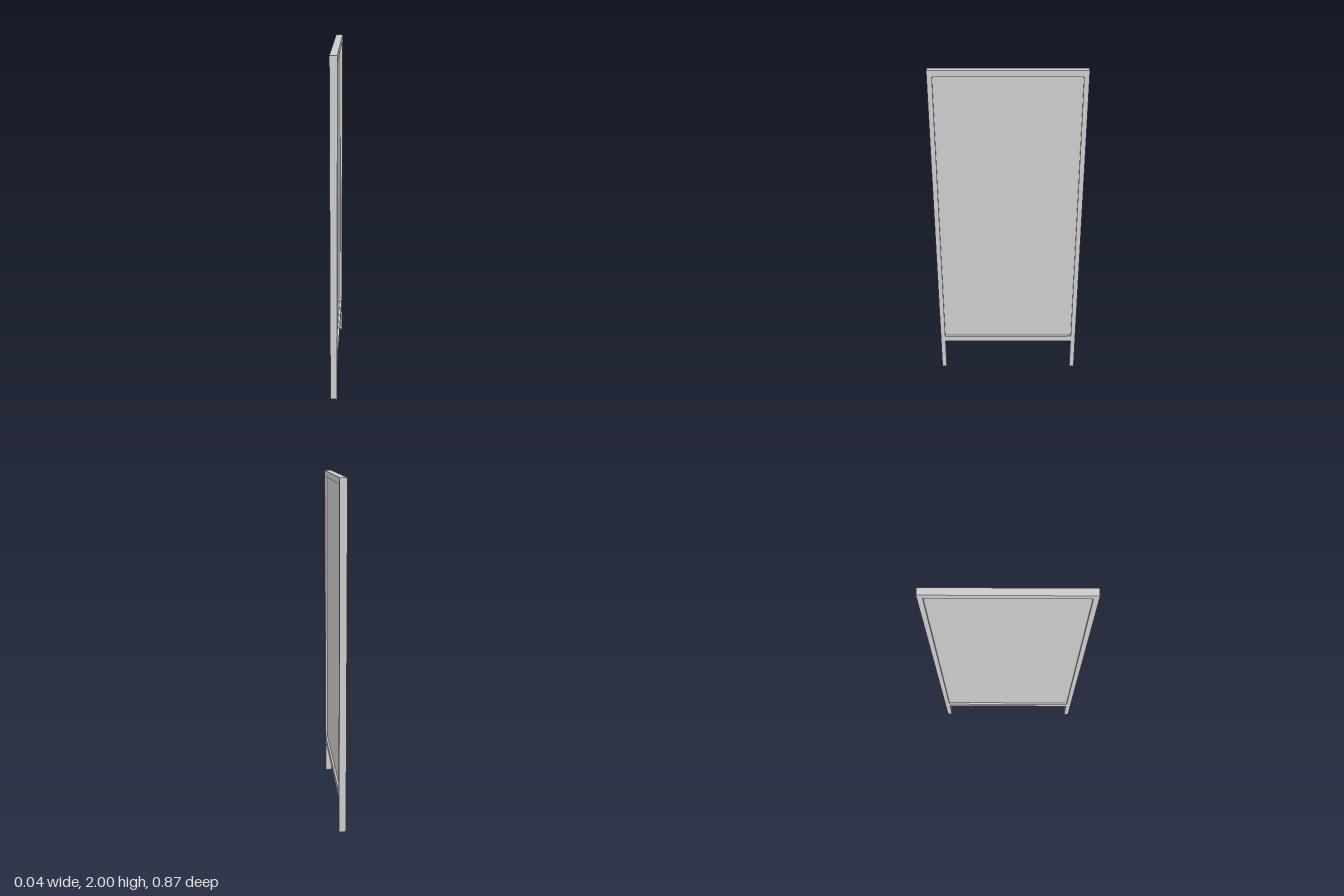
import * as THREE from 'three';

const HALF_DEPTH = 0.433;  // half the width of the screen, along z
const INNER = 0.405;       // inner faces of the posts
const HEIGHT = 2;
const RAIL_TOP = 1.965;    // underside of the top rail
const SILL_TOP = 0.245;    // bottom rail
const SILL_BOTTOM = 0.205;
const THICKNESS = 0.04;
const PANEL_THICKNESS = 0.016;

const points = (list) => list.map(([x, y]) => new THREE.Vector2(x, y));

export function createModel() {
  const group = new THREE.Group();
  group.name = 'standingPanel';
  const material = new THREE.MeshStandardMaterial({ color: 0xcccccc });

  // Frame: two legs running into the posts, top rail, bottom rail and one opening
  const outline = new THREE.Shape(points([
    [-HALF_DEPTH, 0], [-INNER, 0], [-INNER, SILL_BOTTOM], [INNER, SILL_BOTTOM],
    [INNER, 0], [HALF_DEPTH, 0], [HALF_DEPTH, HEIGHT], [-HALF_DEPTH, HEIGHT],
  ]));
  outline.holes.push(new THREE.Path(points([
    [-INNER, SILL_TOP], [-INNER, RAIL_TOP], [INNER, RAIL_TOP], [INNER, SILL_TOP],
  ])));
  const frameGeometry = new THREE.ExtrudeGeometry(outline, { depth: THICKNESS, bevelEnabled: false });
  frameGeometry.translate(0, 0, -THICKNESS / 2).rotateY(Math.PI / 2);
  const frame = new THREE.Mesh(frameGeometry, material);
  frame.name = 'frame';
  group.add(frame);

  // Thin board set back from both faces of the frame
  const panel = new THREE.Mesh(
    new THREE.BoxGeometry(PANEL_THICKNESS, RAIL_TOP - SILL_TOP, INNER * 2), material);
  panel.name = 'panel';
  panel.position.y = (RAIL_TOP + SILL_TOP) / 2;
  group.add(panel);

  return group;
}
